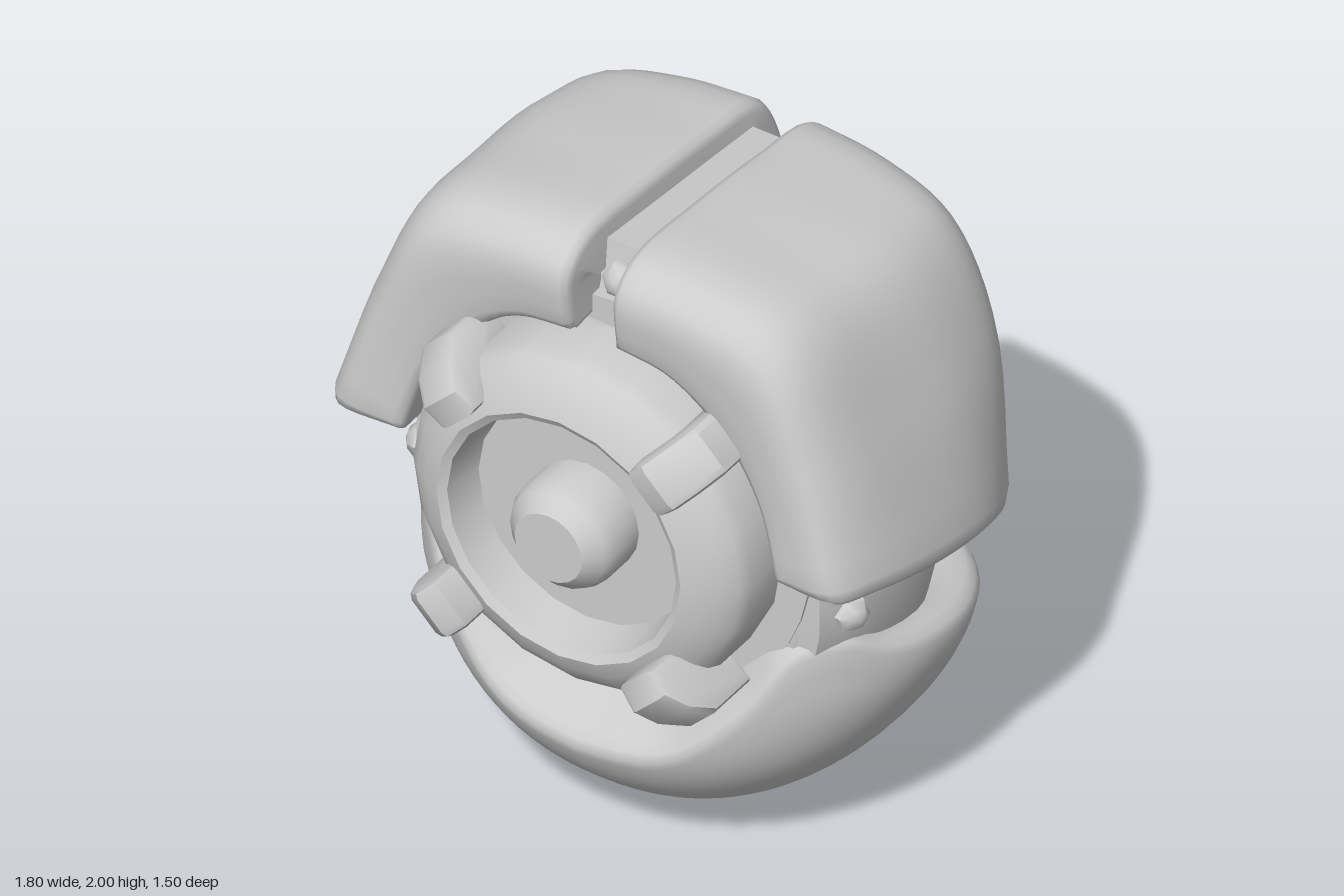
import * as THREE from 'three';
import { toCreasedNormals } from 'three/addons/utils/BufferGeometryUtils.js';

const V = (x, y, z) => new THREE.Vector3(x, y, z);
const grey = new THREE.MeshStandardMaterial({ color: 0xcccccc });
const greyDouble = new THREE.MeshStandardMaterial({ color: 0xcccccc, side: THREE.DoubleSide });
const EYE_Y = 1.14, VENT_Y = 0.94;

function part(parent, name, geometry, material = grey) {
  const mesh = new THREE.Mesh(geometry, material);
  mesh.name = name;
  parent.add(mesh);
  return mesh;
}

// Skin over rows of points; wrap joins the last column to the first.
function skin(rows, flip, wrap) {
  const n = rows[0].length, index = [];
  for (let i = 0; i < rows.length - 1; i++) {
    for (let j = 0; j < (wrap ? n : n - 1); j++) {
      const k = (j + 1) % n;
      const a = i * n + j, b = i * n + k, c = a + n, d = b + n;
      if (flip) index.push(a, c, b, b, c, d);
      else index.push(a, b, c, b, d, c);
    }
  }
  const geo = new THREE.BufferGeometry();
  geo.setAttribute('position', new THREE.Float32BufferAttribute(rows.flat().flatMap(p => [p.x, p.y, p.z]), 3));
  geo.setIndex(index);
  geo.computeVertexNormals();
  return geo;
}

// Turned part about the z axis; points are [radius, distance], dir +1 front, -1 back.
function turned(points, segments, dir = 1) {
  const geo = new THREE.LatheGeometry(points.map(p => new THREE.Vector2(p[0], p[1])), segments);
  return toCreasedNormals(geo.rotateX(dir * Math.PI / 2), 0.65);
}

// Extruded outline centred on its thickness.
function slab(points, width, bevel) {
  const shape = new THREE.Shape(points.map(p => new THREE.Vector2(p[0], p[1])));
  const geo = new THREE.ExtrudeGeometry(shape, {
    depth: width - 2 * bevel, bevelEnabled: bevel > 0, bevelSize: bevel, bevelThickness: bevel, bevelSegments: 2,
  });
  return toCreasedNormals(geo.translate(0, 0, bevel - width / 2), 0.6);
}

// Upper plate sections from the front opening to the vent notch,
// each running from the centre seam down to the side edge.
const plateSections = [
  [[0.07, 1.71, 0.49], [0.25, 1.68, 0.49], [0.42, 1.55, 0.49], [0.54, 1.38, 0.5], [0.61, 1.16, 0.52]],
  [[0.07, 1.91, 0.5], [0.29, 1.9, 0.5], [0.54, 1.82, 0.5], [0.69, 1.53, 0.51], [0.82, 1.17, 0.53]],
  [[0.07, 1.995, 0.4], [0.31, 1.985, 0.4], [0.58, 1.905, 0.4], [0.75, 1.57, 0.41], [0.89, 1.16, 0.38]],
  [[0.07, 1.99, 0.1], [0.32, 1.975, 0.1], [0.6, 1.895, 0.1], [0.77, 1.56, 0.1], [0.915, 1.1, 0.1]],
  [[0.07, 1.96, -0.2], [0.32, 1.945, -0.2], [0.6, 1.87, -0.2], [0.77, 1.54, -0.2], [0.88, 1.02, -0.2]],
  [[0.07, 1.91, -0.46], [0.32, 1.89, -0.45], [0.56, 1.81, -0.43], [0.71, 1.5, -0.43], [0.76, 0.92, -0.42]],
  [[0.07, 1.72, -0.57], [0.28, 1.68, -0.565], [0.43, 1.56, -0.56], [0.54, 1.33, -0.56], [0.57, 0.87, -0.53]],
  [[0.07, 1.38, -0.625], [0.15, 1.34, -0.625], [0.25, 1.26, -0.62], [0.34, 1.12, -0.61], [0.37, 0.87, -0.57]],
];

function upperPlate(side) {
  const curves = plateSections.map(s => new THREE.CatmullRomCurve3(s.map(p => V(...p))));
  const at = (u, v) => new THREE.CatmullRomCurve3(curves.map(c => c.getPoint(u))).getPoint(v);
  // Parameter and depth pairs: deep wall, rounded edge, then the open face.
  const steps = (count, inset) => {
    const edge = [[0, 0.17], [0, 0.035], [inset * 0.3, 0.012], [inset, 0]];
    const middle = [];
    for (let i = 1; i < count; i++) middle.push([inset + (1 - 2 * inset) * i / count, 0]);
    return [...edge, ...middle, ...edge.map(([t, d]) => [1 - t, d]).reverse()];
  };
  const us = steps(20, 0.03), vs = steps(32, 0.022), e = 0.004;
  const rows = vs.map(([v, dv]) => us.map(([u, du]) => {
    const tu = at(Math.min(1, u + e), v).sub(at(Math.max(0, u - e), v));
    const tv = at(u, Math.min(1, v + e)).sub(at(u, Math.max(0, v - e)));
    const p = at(u, v).addScaledVector(tu.cross(tv).normalize(), -Math.max(du, dv));
    p.x *= side;
    return p;
  }));
  return skin(rows, side < 0, false);
}

// Rounded bowl trimmed by a rim that dips at the front, with a thick lip.
function lowerBowl() {
  // Rim height by angle in degrees from the front
  const rimKeys = [[0, 0.37], [22, 0.42], [36, 0.6], [48, 0.79], [60, 0.815], [75, 0.74], [100, 0.67], [125, 0.625], [155, 0.58], [180, 0.56]];
  const half = new THREE.CatmullRomCurve3(rimKeys.map(([a, y]) => V(a / 60, y, 0))).getPoints(40);
  const rim = [...half, ...half.slice(1, -1).reverse().map(p => V(6 - p.x, p.y, 0))]
    .map(p => ({ angle: p.x * Math.PI / 3, y: p.y }));
  // Half extents of the bowl at a height
  const swell = (y, full, p, q) => (1 - Math.max(0, 1 - y / full) ** p) ** q;
  const soft = t => Math.sign(t) * Math.abs(t) ** 0.92;
  const onBowl = (angle, y, scale, lift) => {
    const c = soft(Math.cos(angle)), s = soft(Math.sin(angle));
    const reach = c > 0 ? 0.64 * swell(y, 0.5, 2, 0.55) : 0.64 * swell(y, 0.55, 2.3, 0.4);
    return V(0.79 * swell(y, 0.67, 1.5, 0.52) * s * scale, y + lift, -0.05 + reach * c * scale);
  };
  // Lip from the inside out: [scale, lift, extra lift at the front]
  const lip = [[0.7, -0.04, 0.17], [0.82, 0.03, 0.06], [0.89, 0.045, 0.02], [0.95, 0.045, 0], [0.985, 0.025, 0]];
  const rows = lip.map(([scale, lift, extra]) => rim.map(r =>
    onBowl(r.angle, r.y, scale, lift + extra * Math.max(0, Math.cos(r.angle)) ** 2)));
  for (let i = 0; i <= 20; i++) {
    const k = 1 - Math.sin((i / 20) * Math.PI / 2);
    rows.push(rim.map(r => onBowl(r.angle, Math.max(r.y * k, 0.00001), 1, 0)));
  }
  return skin(rows, true, true);
}

export function createModel() {
  const model = new THREE.Group();
  model.name = 'roundHead';

  // Inner body, squared off towards the flat front
  const profile = [[0.001, 0.4], [0.5, 0.45], [0.68, 0.65], [0.735, 0.9], [0.735, 1.08], [0.66, 1.4], [0.5, 1.62], [0.001, 1.75]];
  const core = new THREE.LatheGeometry(profile.map(p => new THREE.Vector2(p[0], p[1])), 48);
  const pos = core.attributes.position;
  for (let i = 0; i < pos.count; i++) {
    const z = Math.min(0.37, pos.getZ(i) * 0.8);
    pos.setZ(i, z);
    pos.setX(i, pos.getX(i) * (1 + 0.14 * (Math.max(0, z) / 0.37) ** 2));
  }
  part(model, 'innerBody', toCreasedNormals(core, 0.6));
  part(model, 'frontCollar', turned([[0.64, 0.2], [0.64, 0.375], [0, 0.375]], 40)).position.y = EYE_Y;

  // Raised strip in the seam between the upper plates
  const strip = slab([[0.31, 1.93], [-0.4, 1.86], [-0.47, 1.68], [-0.52, 1.45], [-0.45, 1.2], [0.37, 1.2], [0.38, 1.68], [0.33, 1.8]], 0.2, 0);
  part(model, 'seamStrip', strip.rotateY(-Math.PI / 2));

  // Armour
  part(model, 'upperPlateLeft', upperPlate(1), greyDouble);
  part(model, 'upperPlateRight', upperPlate(-1), greyDouble);
  part(model, 'lowerBowl', lowerBowl(), greyDouble);

  // Eye: ring, recessed dish and hub
  const eye = new THREE.Group();
  eye.name = 'eye';
  eye.position.y = EYE_Y;
  model.add(eye);
  part(eye, 'eyeRing', turned([[0.55, 0.34], [0.55, 0.52], [0.535, 0.56], [0.5, 0.595], [0.45, 0.63],
    [0.4, 0.65], [0.375, 0.635], [0.355, 0.51], [0, 0.51]], 20));
  part(eye, 'eyeHub', turned([[0.17, 0.5], [0.17, 0.62], [0.155, 0.655], [0.11, 0.7], [0, 0.7]], 20));

  // Four hooked clamps over the ring, the upper pair set slightly further back
  const hook = [[0.45, 0.6], [0.45, 0.7], [0.5, 0.71], [0.56, 0.67], [0.61, 0.6], [0.61, 0.46], [0.54, 0.46], [0.53, 0.55]];
  const clampGeo = slab(hook, 0.16, 0.025).rotateX(Math.PI / 2);
  for (let i = 0; i < 4; i++) {
    const clamp = part(eye, 'clamp', clampGeo);
    clamp.rotation.z = Math.PI / 4 + i * Math.PI / 2;
    clamp.position.z = i < 2 ? -0.03 : 0.01;
  }

  // Rear vent with fan
  const vent = new THREE.Group();
  vent.name = 'rearVent';
  vent.position.y = VENT_Y;
  model.add(vent);
  part(vent, 'ventHousing', turned([[0.32, 0.4], [0.3, 0.6], [0.295, 0.65], [0.27, 0.685], [0.24, 0.7], [0.2, 0.7],
    [0.18, 0.68], [0.175, 0.61], [0, 0.61]], 32, -1));
  part(vent, 'fanHub', turned([[0.09, 0.6], [0.09, 0.7], [0.075, 0.73], [0.045, 0.75], [0, 0.75]], 16, -1));
  const bladeGeo = new THREE.BoxGeometry(0.13, 0.1, 0.008).rotateX(0.4).translate(0.11, 0, -0.64);
  for (let i = 0; i < 10; i++) part(vent, 'fanBlade', bladeGeo).rotation.z = i * Math.PI / 5;

  // Six-sided studs pointing outwards on the seam and around the waist
  const studGeo = toCreasedNormals(new THREE.SphereGeometry(0.06, 6, 6), 0.8);
  const stud = (position, direction) => {
    const mesh = part(model, 'stud', studGeo);
    mesh.position.set(...position);
    mesh.quaternion.setFromUnitVectors(V(0, 1, 0), V(...direction).normalize());
  };
  stud([0, 1.83, 0.33], [0, 0.3, 1]);
  stud([0, 1.74, -0.45], [0, 0.3, -1]);
  stud([0, 1.42, -0.53], [0, 0.2, -1]);
  for (const side of [-1, 1]) {
    stud([side * 0.69, 0.94, 0.26], [side, 0, 0.4]);
    stud([side * 0.51, 0.77, -0.42], [side, 0, -0.8]);
  }
  return model;
}
